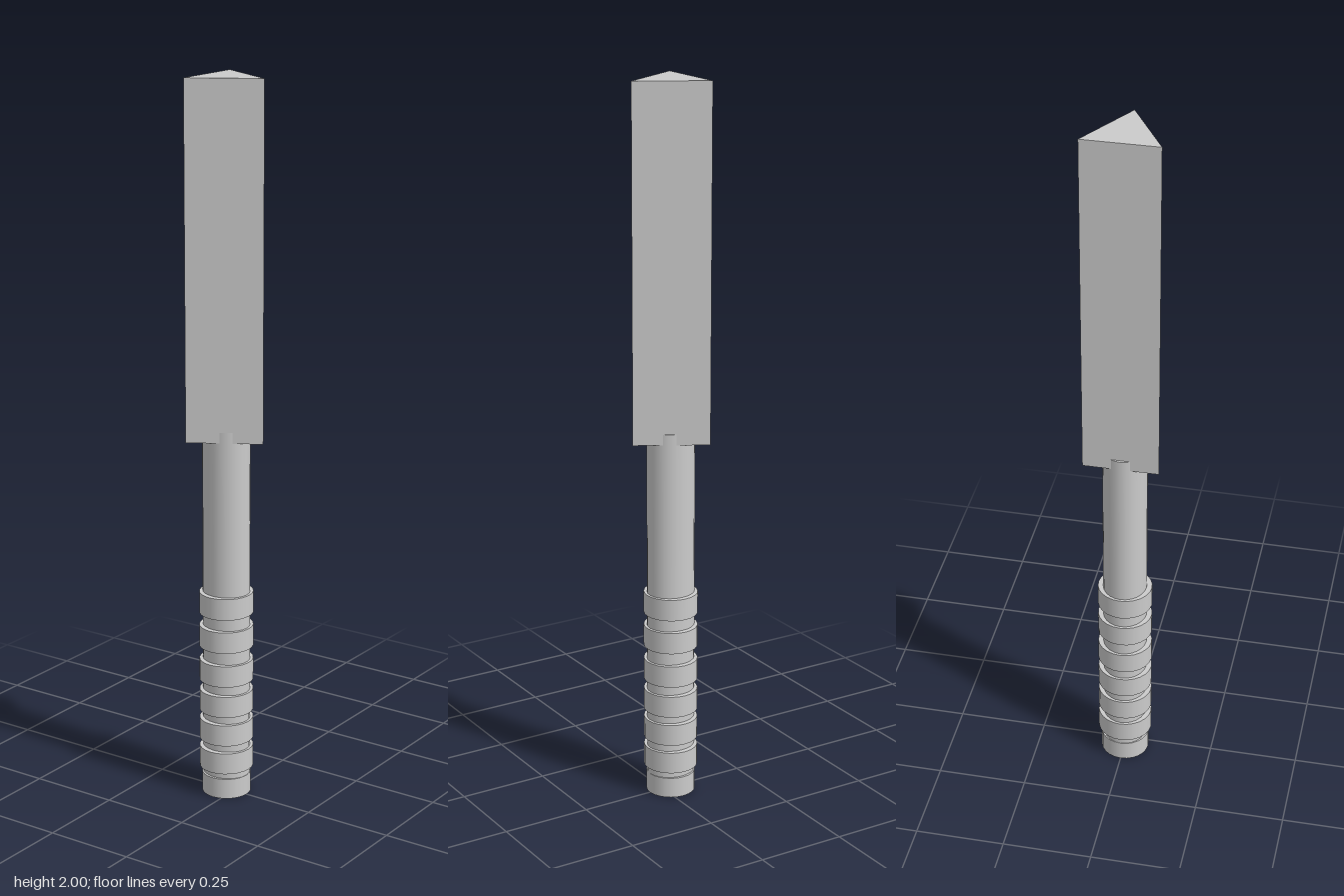
import * as THREE from 'three';

const AXIS_X = -0.025; // shared axis of blade, shaft and grip
const SIDES = 24;

export function createModel() {
  const model = new THREE.Group();
  const smooth = new THREE.MeshStandardMaterial({ color: 0xcccccc });
  const faceted = new THREE.MeshStandardMaterial({ color: 0xcccccc, flatShading: true });

  // Upright solid between two heights, with separate x and z radii
  function addColumn(name, bottom, top, rx, rz, sides = SIDES, material = smooth) {
    const geometry = new THREE.CylinderGeometry(1, 1, top - bottom, sides, 1, false, Math.PI / 2);
    geometry.scale(rx, 1, rz);
    const mesh = new THREE.Mesh(geometry, material);
    mesh.name = name;
    mesh.position.set(AXIS_X, (bottom + top) / 2, 0);
    model.add(mesh);
  }

  // Three-sided blade with one corner pointing to +x
  addColumn('blade', 1.03, 2, 0.12, 0.12, 3, faceted);

  // Shaft running from the pommel into the blade
  addColumn('shaft', 0.03, 1.06, 0.067, 0.061);

  // Pommel at the foot
  addColumn('pommel', 0, 0.058, 0.068, 0.068);

  // Grip rings, slightly closer together toward the foot
  [0.077, 0.161, 0.246, 0.336, 0.435, 0.532].forEach((bottom, i) => {
    addColumn(`gripRing${i + 1}`, bottom, bottom + 0.061, 0.074, 0.076);
  });

  return model;
}
